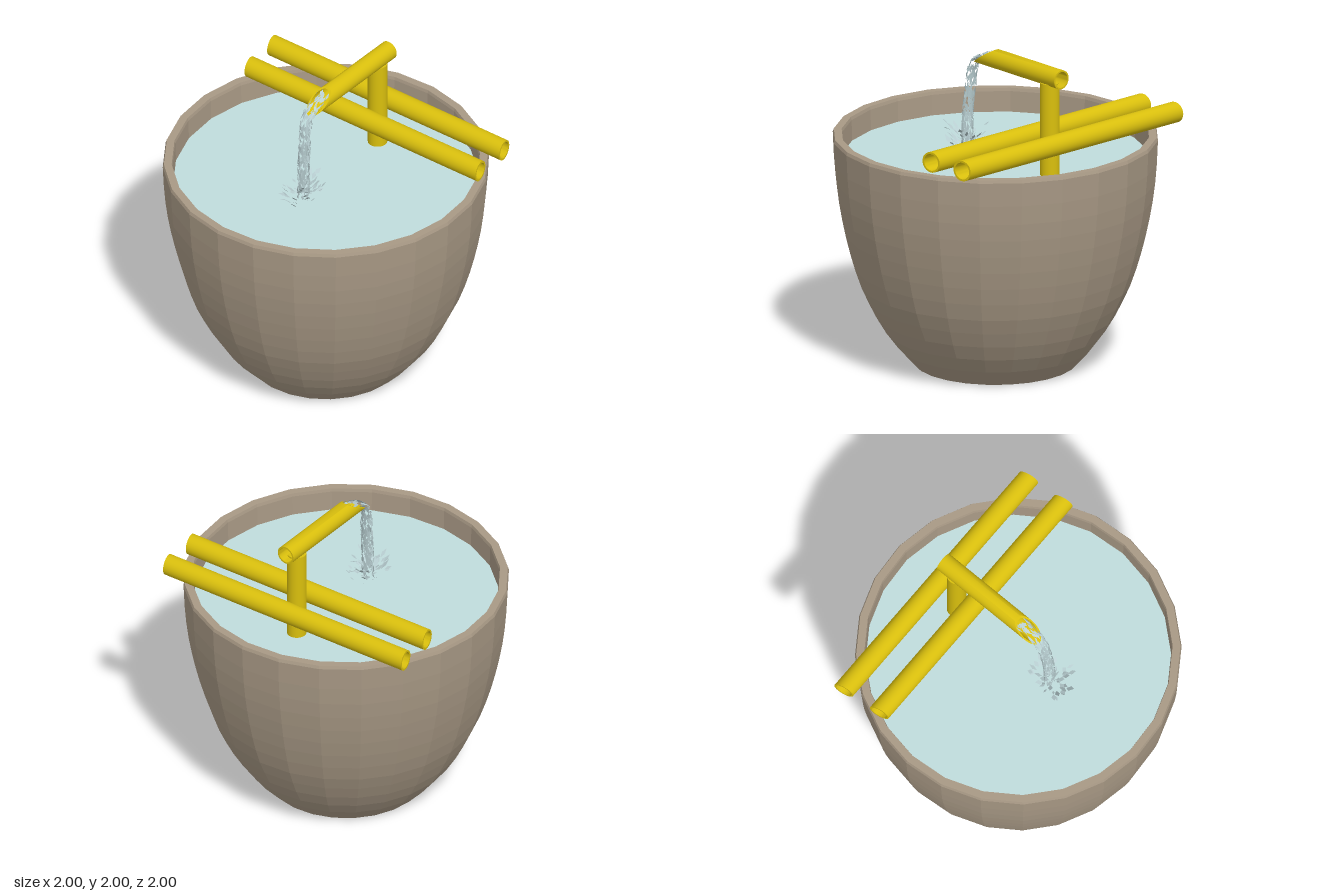
import * as THREE from 'three';
import { toCreasedNormals } from 'three/addons/utils/BufferGeometryUtils.js';

const SIDES = 24;
const TURN = THREE.MathUtils.degToRad(-4);
const WATER_Y = 1.31;

const paint = (color, extra = {}) => new THREE.MeshStandardMaterial({ color, ...extra });

function makeMesh(name, geometry, material) {
  const mesh = new THREE.Mesh(geometry, material);
  mesh.name = name;
  return mesh;
}

const latheOf = (pairs, sides, start = 0) =>
  new THREE.LatheGeometry(pairs.map(([r, y]) => new THREE.Vector2(r, y)), sides, start);

// Hollow pipe along +y; slants shear the cut of each end: y += slant * z
function pipe(radius, bore, y0, y1, slant0 = 0, slant1 = 0) {
  const g = latheOf([[bore, y0], [radius, y0], [radius, y1], [bore, y1], [bore, y0]], 32);
  const p = g.attributes.position;
  const middle = (y0 + y1) / 2;
  for (let i = 0; i < p.count; i++) {
    const slant = p.getY(i) < middle ? slant0 : slant1;
    p.setY(i, p.getY(i) + slant * p.getZ(i));
  }
  return toCreasedNormals(g, 0.7);
}

function seeded(seed) {
  return () => {
    seed = (seed * 16807) % 2147483647;
    return seed / 2147483647;
  };
}

// Diamond flakes gathered in one geometry
function flakes(list) {
  const pos = [];
  for (const { at, along, across } of list) {
    const a = at.clone().sub(along), b = at.clone().add(across);
    const c = at.clone().add(along), d = at.clone().sub(across);
    for (const v of [a, b, c, a, c, d]) pos.push(v.x, v.y, v.z);
  }
  const g = new THREE.BufferGeometry();
  g.setAttribute('position', new THREE.Float32BufferAttribute(pos, 3));
  g.computeVertexNormals();
  return g;
}

export function createModel() {
  const model = new THREE.Group();
  const stone = paint(0xa89985, { flatShading: true });
  const bamboo = paint(0xd9bf0d);
  const water = paint(0xc0dcdc);
  const spray = paint(0xb9cfd2, { side: THREE.DoubleSide, flatShading: true });

  // Faceted basin: base, outer wall, rim and inner lip
  model.add(makeMesh('basin', latheOf([
    [0, 0], [0.5, 0], [0.6, 0.11], [0.675, 0.21], [0.735, 0.31], [0.785, 0.41], [0.83, 0.51],
    [0.868, 0.62], [0.9, 0.73], [0.927, 0.84], [0.95, 0.95], [0.969, 1.06], [0.983, 1.17],
    [0.993, 1.29], [1, 1.44], [0.993, 1.46], [0.945, 1.46], [0.94, 1.44], [0.935, 1.28],
  ], SIDES, TURN), stone));
  model.add(makeMesh('waterSurface', latheOf([[0.938, WATER_Y], [0, WATER_Y]], SIDES, TURN), water));

  // Two crossing rails with oblique ends, laid over the rim
  for (const [name, x0, x1, z] of [['frontRail', -0.88, 0.9, -0.38], ['backRail', -0.905, 0.885, -0.64]]) {
    const rail = makeMesh(name, pipe(0.065, 0.053, x0, x1, 0.17, 0.17), bamboo);
    rail.rotation.z = -Math.PI / 2;
    rail.position.set(0, 1.546, z);
    model.add(rail);
  }

  // Upright post
  const post = makeMesh('post', new THREE.CylinderGeometry(0.06, 0.06, 0.6, 32), bamboo);
  post.position.set(0.015, 1.6, -0.5);
  model.add(post);

  // Spout: square back end, oblique mouth facing up and forward
  const spout = makeMesh('spout', pipe(0.06, 0.05, -0.61, 0.075, 0, 1.55), bamboo);
  spout.rotation.x = Math.PI / 2;
  const spoutGroup = new THREE.Group();
  spoutGroup.name = 'spoutArm';
  spoutGroup.add(spout);
  spoutGroup.position.set(0.005, 1.94, 0);
  spoutGroup.rotation.y = -0.025;
  model.add(spoutGroup);

  // Falling stream: flakes wrapped around a curved path
  const rand = seeded(71);
  const spread = (s) => (rand() * 2 - 1) * s;
  const path = new THREE.CatmullRomCurve3([
    [0, 1.97, 0.02], [0, 1.945, 0.08], [0, 1.905, 0.155], [0, 1.85, 0.195],
    [0.005, 1.7, 0.22], [0.01, 1.5, 0.237], [0.01, WATER_Y, 0.24],
  ].map((p) => new THREE.Vector3(...p)));
  const side = new THREE.Vector3(1, 0, 0);
  const stream = [];
  for (let i = 0; i < 260; i++) {
    const t = rand();
    const angle = rand() * Math.PI * 2;
    const tangent = path.getTangentAt(t);
    const out = new THREE.Vector3().crossVectors(side, tangent).normalize();
    const thick = 0.012 + 0.018 * t;
    const at = path.getPointAt(t)
      .addScaledVector(side, Math.cos(angle) * 0.042)
      .addScaledVector(out, Math.sin(angle) * thick);
    const across = side.clone().multiplyScalar(-Math.sin(angle))
      .addScaledVector(out, Math.cos(angle) * 0.6).multiplyScalar(0.006 + rand() * 0.008);
    const along = tangent.multiplyScalar(0.015 + rand() * 0.02).addScaledVector(side, spread(0.006));
    stream.push({ at, along, across });
  }
  model.add(makeMesh('stream', flakes(stream), spray));

  // Splash: small flakes thrown outward where the stream lands
  const splash = [];
  for (let i = 0; i < 60; i++) {
    const angle = rand() * Math.PI * 2;
    const reach = 0.03 + rand() * 0.09;
    const dir = new THREE.Vector3(Math.cos(angle), 0, Math.sin(angle) * 1.2);
    const at = new THREE.Vector3(0.015, WATER_Y + 0.015 + rand() * (0.05 + reach), 0.25)
      .addScaledVector(dir, reach);
    const along = dir.clone().setY(0.8 + spread(0.5)).multiplyScalar(0.012 + rand() * 0.012);
    const across = new THREE.Vector3(-dir.z, spread(0.5), dir.x).multiplyScalar(0.006 + rand() * 0.01);
    splash.push({ at, along, across });
  }
  model.add(makeMesh('splash', flakes(splash), spray));

  return model;
}
